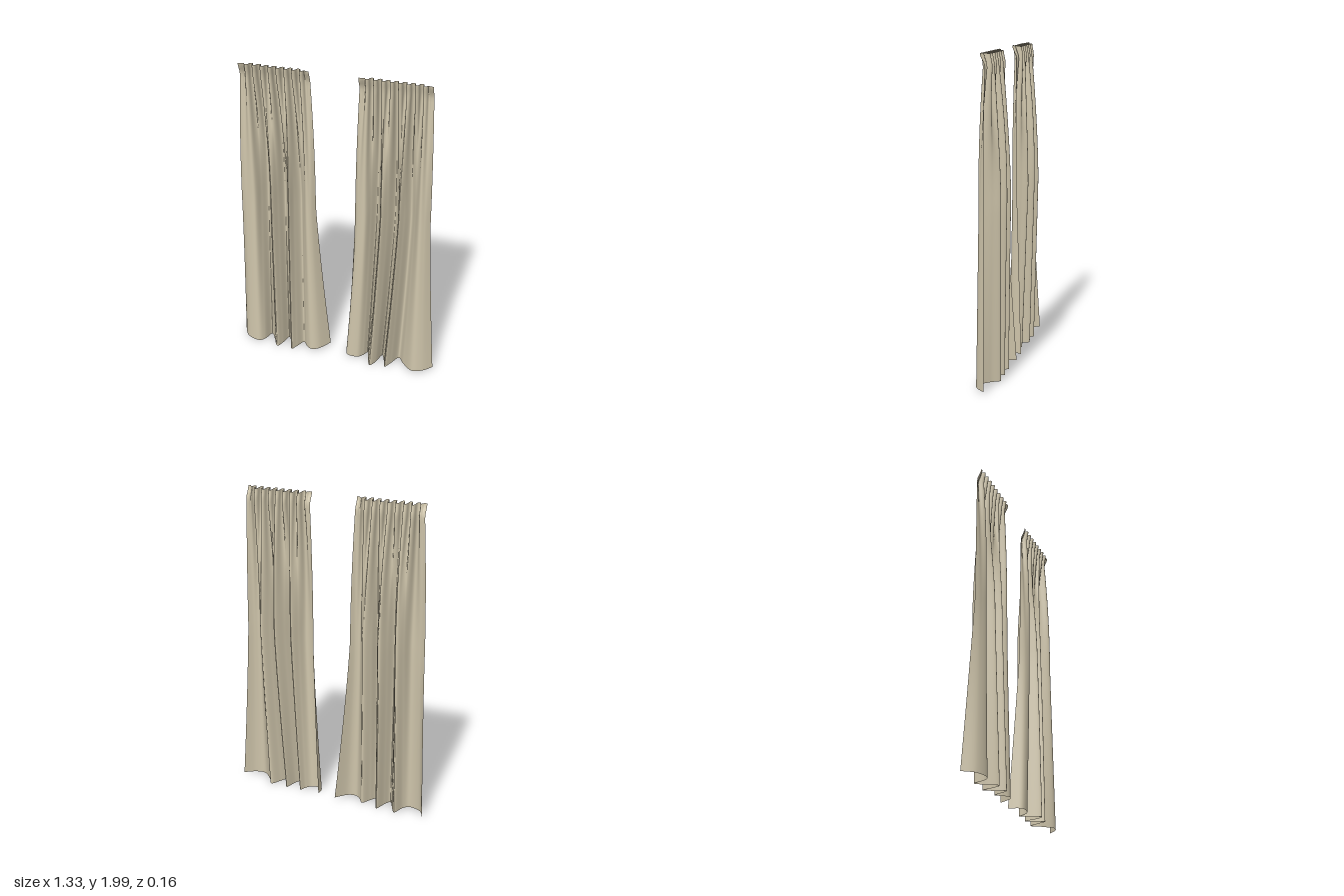
import * as THREE from 'three';

const COLS = 180, ROWS = 48, PLEATS = 9;
const GATHER_Y = 1.92, MID_Y = 1.1, HEM_Y = 0.01;
const { lerp, smoothstep } = THREE.MathUtils;

// Smooth cross-section through [x, z] pairs
const section = (pts) => new THREE.SplineCurve(pts.map(([x, z]) => new THREE.Vector2(x, z)));

// One hanging panel: small gathered pleats at the top merge into three deep folds
function curtain(name, topLeft, topRight, midPts, hemPts, material) {
  const mid = section(midPts), hem = section(hemPts);
  const pos = [], index = [];
  for (let r = 0; r <= ROWS; r++) {
    // rows are denser near the gathered heading
    const y0 = lerp(2, HEM_Y, Math.pow(r / ROWS, 1.4));
    for (let c = 0; c <= COLS; c++) {
      const u = c / COLS;
      const m = mid.getPoint(u);
      // pleats fade out at the flat side borders
      const border = smoothstep(u, 0.03, 0.12) * (1 - smoothstep(u, 0.88, 0.97));
      const wave = Math.cos(u * PLEATS * Math.PI * 2);
      const skew = Math.sin(u * PLEATS * Math.PI * 4) * 0.004 * border;
      let x = lerp(topLeft, topRight, u), z, y = y0;
      if (y0 > MID_Y) {
        const t = Math.max(0, (GATHER_Y - y0) / (GATHER_Y - MID_Y));
        const s = Math.min(1, 1 - Math.pow(1 - t, 1.8));
        const heading = smoothstep(y0, GATHER_Y, 2);
        const pleat = wave * border * 0.025 * Math.pow(1 - t, 1.3);
        x = lerp(x + skew, m.x, s);
        z = lerp(-0.008 + heading * 0.01, m.y, s) + pleat;
        z += heading * 0.018 * (1 - border);
        y -= heading * 0.008 * (0.5 - 0.5 * wave) * border;
      } else {
        const t = (MID_Y - y0) / (MID_Y - HEM_Y);
        const h = hem.getPoint(u);
        x = lerp(m.x, h.x, Math.pow(t, 1.25));
        z = lerp(m.y, h.y, t);
        // hem lifts slightly toward the side edges
        y += 0.014 * Math.pow(Math.abs(2 * u - 1), 3) * t * t;
      }
      pos.push(x, y, z);
      if (r < ROWS && c < COLS) {
        const a = r * (COLS + 1) + c, b = a + 1, d = a + COLS + 1;
        index.push(a, d, b, b, d, d + 1);
      }
    }
  }
  const geo = new THREE.BufferGeometry();
  geo.setAttribute('position', new THREE.Float32BufferAttribute(pos, 3));
  geo.setIndex(index);
  geo.computeVertexNormals();
  const mesh = new THREE.Mesh(geo, material);
  mesh.name = name;
  return mesh;
}

export function createModel() {
  const group = new THREE.Group();
  group.name = 'curtains';
  const linen = new THREE.MeshStandardMaterial({ color: 0xd0c6ac, side: THREE.DoubleSide });
  linen.name = 'beige linen';

  group.add(curtain('rightCurtain', -0.61, -0.16,
    [[-0.63, 0], [-0.59, 0.02], [-0.53, 0.03], [-0.505, -0.03], [-0.48, -0.08], [-0.45, -0.04],
      [-0.415, 0.04], [-0.39, -0.02], [-0.365, -0.08], [-0.33, -0.035], [-0.3, 0.04], [-0.28, -0.015],
      [-0.25, -0.065], [-0.22, -0.025], [-0.19, 0.02], [-0.16, 0.015], [-0.135, -0.015]],
    [[-0.665, -0.055], [-0.62, 0.02], [-0.54, 0.05], [-0.5, 0.02], [-0.475, -0.055], [-0.44, -0.01],
      [-0.395, 0.065], [-0.37, 0.02], [-0.35, -0.055], [-0.32, -0.005], [-0.29, 0.067], [-0.265, 0.03],
      [-0.235, -0.03], [-0.2, 0.01], [-0.16, 0.035], [-0.11, 0.015], [-0.055, -0.065]], linen));

  group.add(curtain('leftCurtain', 0.145, 0.595,
    [[0.125, -0.01], [0.15, 0.02], [0.2, 0.03], [0.225, -0.02], [0.25, -0.075], [0.28, -0.03],
      [0.305, 0.045], [0.335, -0.01], [0.365, -0.08], [0.395, -0.035], [0.415, 0.03], [0.44, -0.015],
      [0.47, -0.07], [0.505, -0.025], [0.545, 0.04], [0.58, 0.03], [0.61, 0]],
    [[0.065, -0.065], [0.085, 0.018], [0.155, 0.025], [0.19, -0.01], [0.21, -0.05], [0.23, 0.01],
      [0.26, 0.08], [0.29, 0.035], [0.31, -0.05], [0.335, -0.005], [0.36, 0.065], [0.39, 0.015],
      [0.425, -0.055], [0.47, 0], [0.54, 0.06], [0.605, 0.045], [0.665, -0.01]], linen));
  return group;
}
